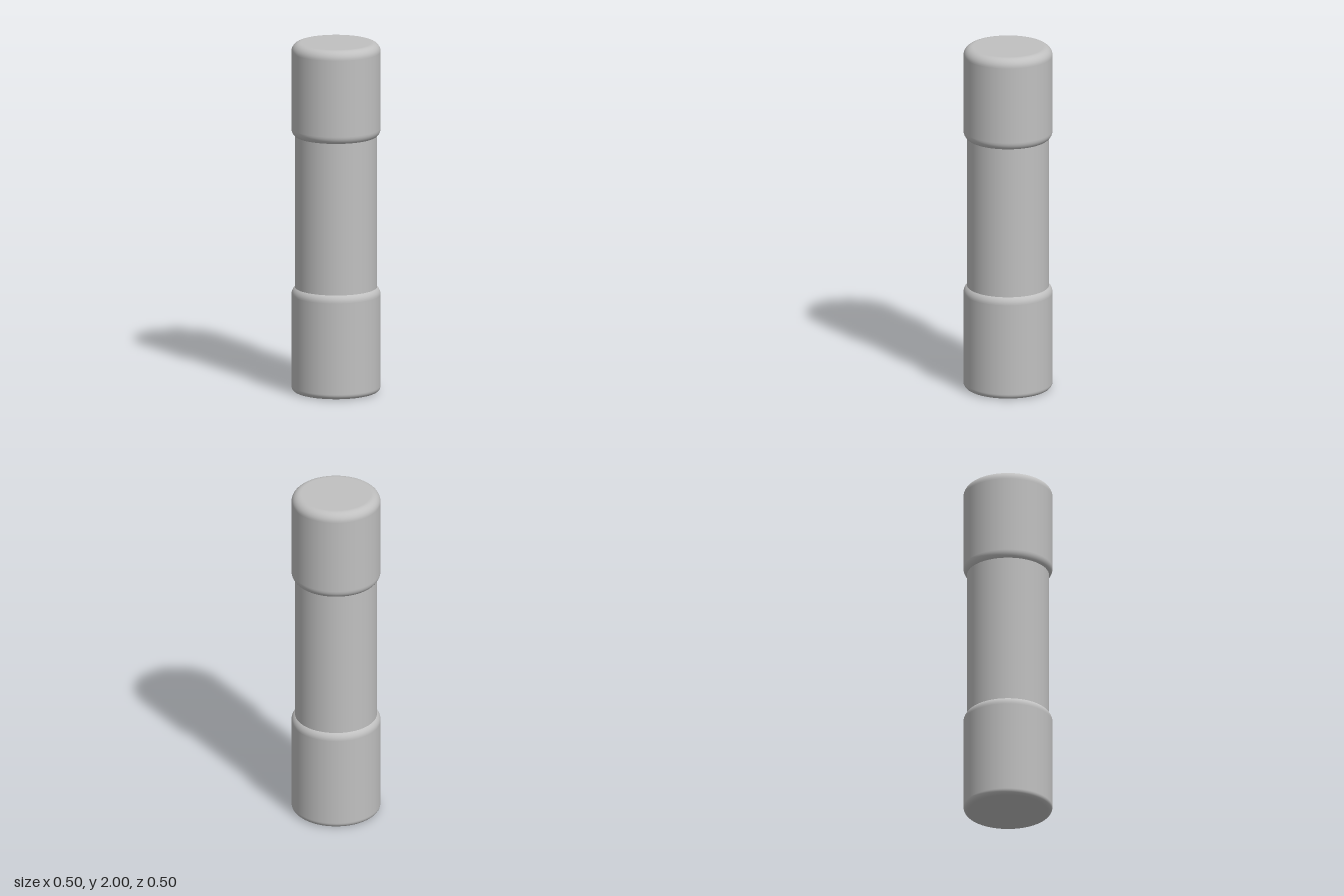
import * as THREE from 'three';

const CAP_RADIUS = 0.25;
const BODY_RADIUS = 0.23;

// Turned cap with a rounded lower and upper edge
function makeCap(name, y0, y1, lowRound, highRound, material) {
  const points = [new THREE.Vector2(0, y0), new THREE.Vector2(CAP_RADIUS - lowRound - 0.002, y0)];
  const addArc = (cy, r, from) => {
    for (let i = 0; i <= 12; i++) {
      const a = from + (i / 12) * Math.PI / 2;
      points.push(new THREE.Vector2(CAP_RADIUS - r + r * Math.cos(a), cy + r * Math.sin(a)));
    }
  };
  addArc(y0 + lowRound, lowRound, -Math.PI / 2);
  // Support points keep the straight wall shading even
  points.push(new THREE.Vector2(CAP_RADIUS, y0 + lowRound + 0.002));
  points.push(new THREE.Vector2(CAP_RADIUS, y1 - highRound - 0.002));
  addArc(y1 - highRound, highRound, 0);
  points.splice(points.length - 0, 0, new THREE.Vector2(CAP_RADIUS - highRound - 0.002, y1));
  points.push(new THREE.Vector2(0, y1));
  const mesh = new THREE.Mesh(new THREE.LatheGeometry(points, 96), material);
  mesh.name = name;
  return mesh;
}

export function createModel() {
  const group = new THREE.Group();
  group.name = 'cappedCylinder';
  const grey = new THREE.MeshStandardMaterial({ color: 0xc0c0c0 });
  grey.name = 'light grey';

  // Slim middle tube, running into both caps
  const body = new THREE.Mesh(
    new THREE.CylinderGeometry(BODY_RADIUS, BODY_RADIUS, 0.96, 96, 1, true), grey);
  body.position.y = 1.03;
  body.name = 'body';

  group.add(
    body,
    makeCap('bottomCap', 0, 0.607, 0.03, 0.05, grey),
    makeCap('topCap', 1.457, 2, 0.05, 0.05, grey),
  );
  return group;
}
